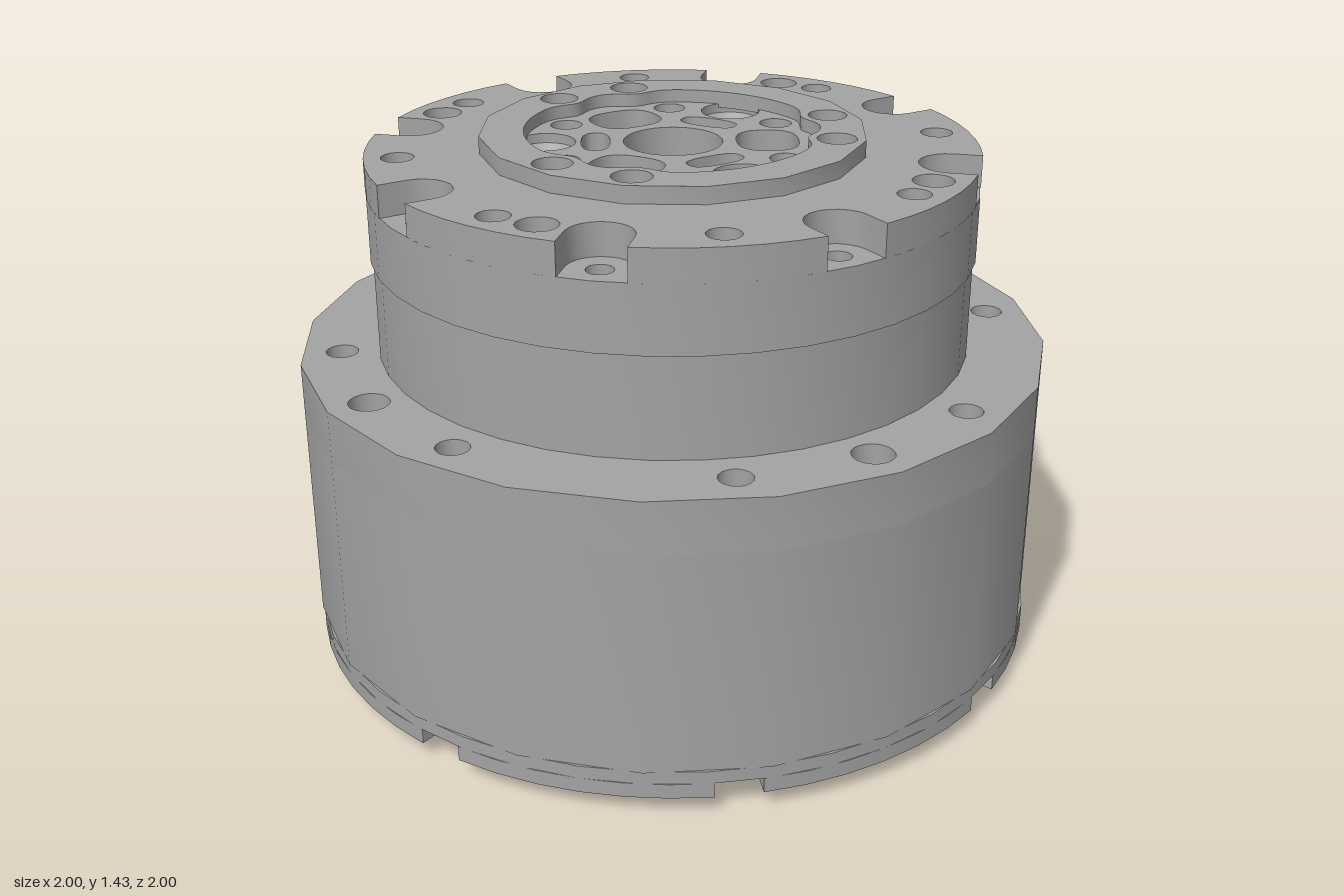
import * as THREE from 'three';
import { toCreasedNormals } from 'three/addons/utils/BufferGeometryUtils.js';

const RAD = Math.PI / 180;

// Plan point at azimuth a (degrees from +z towards +x) and radius r
const polar = (a, r) => new THREE.Vector2(r * Math.sin(a * RAD), -r * Math.cos(a * RAD));

// Closed circle of n points, centred at azimuth a and distance d
function circle(r, n = 18, a = 0, d = 0) {
  const c = polar(a, d);
  return Array.from({ length: n }, (_, i) => polar((i * 360) / n, r).add(c));
}

// One hole outline for every azimuth in the list
const holes = (angles, d, r, n = 18) => angles.map((a) => circle(r, n, a, d));

const steps = (count, start = 0) => Array.from({ length: count }, (_, i) => start + (i * 360) / count);

// Disc outline with eight U-shaped notches cut in from the rim
function notched(R, start, w, centre) {
  const pts = [];
  const edge = Math.sqrt(R * R - w * w);
  const half = Math.asin(w / R) / RAD;
  for (const a of steps(8, start)) {
    const put = (u, t) => pts.push(polar(a, u).add(polar(a + 90, t)));
    put(edge, -w);
    for (let i = 0; i <= 10; i++) {
      const q = (i / 10) * Math.PI;
      put(centre - w * Math.sin(q), -w * Math.cos(q));
    }
    put(edge, w);
    for (let i = 1; i < 6; i++) pts.push(polar(a + half + ((45 - 2 * half) * i) / 6, R));
  }
  return pts;
}

// Rounded pocket outline at azimuth a
function pocket(a, centre, hr, ht) {
  const bend = (v) => Math.sign(v) * Math.abs(v) ** 0.75;
  return Array.from({ length: 24 }, (_, i) => {
    const q = (i / 24) * Math.PI * 2;
    return polar(a, centre + hr * bend(Math.cos(q))).add(polar(a + 90, ht * bend(Math.sin(q))));
  });
}

export function createModel() {
  const model = new THREE.Group();
  const metal = new THREE.MeshStandardMaterial({ color: 0xa3a3a3, side: THREE.DoubleSide });
  metal.name = 'grey metal';

  const add = (name, geometry, parent = model) => {
    const mesh = new THREE.Mesh(geometry, metal);
    mesh.name = name;
    parent.add(mesh);
    return mesh;
  };

  // Flat layer from y0 to y1 with cut-outs
  const layer = (name, y0, y1, outline, cuts = []) => {
    const shape = new THREE.Shape(outline);
    shape.holes = cuts.map((c) => new THREE.Path(c));
    const g = new THREE.ExtrudeGeometry(shape, { depth: y1 - y0, bevelEnabled: false });
    g.rotateX(-Math.PI / 2).translate(0, y0, 0);
    return add(name, toCreasedNormals(g, 0.6));
  };

  // Conical bottoms of drilled holes
  const drillTips = (name, angles, d, r, y, h = 0.03) => {
    const group = new THREE.Group();
    group.name = name;
    for (const a of angles) {
      const p = polar(a, d);
      const tip = add('drillTip', new THREE.CylinderGeometry(r, 0, h, 18, 1, true), group);
      tip.position.set(p.x, y + h / 2, -p.y);
    }
    model.add(group);
  };

  const quarter = steps(4);
  const eighths = steps(8);
  const between = steps(8, 22.5);

  // Bottom rim and screw bosses
  layer('bottomRim', 0, 0.055, circle(0.72, 24), [circle(0.675, 24)]);
  for (const a of steps(4, 45)) {
    layer('screwBoss', 0, 0.056, circle(0.08, 20, a, 0.58), [circle(0.03, 14, a, 0.58)]);
  }

  // Base flange with notches and small holes
  const baseHoles = holes(steps(6), 0.87, 0.025, 12);
  layer('baseFlangeLower', 0.055, 0.095, notched(0.995, 22.5, 0.06, 0.9), baseHoles);
  layer('baseFlangeUpper', 0.095, 0.13, circle(0.995, 40),
    [...baseHoles, ...holes(between, 0.9, 0.025, 12)]);

  // Main housing and its bolt circle
  layer('housing', 0.13, 0.72, circle(1, 20));
  layer('housingTop', 0.72, 0.86, circle(1, 20),
    [...holes(quarter, 0.89, 0.053), ...holes(between, 0.89, 0.043)]);
  drillTips('housingDrillTips', between, 0.89, 0.043, 0.77);

  // Neck
  layer('neck', 0.86, 1.125, circle(0.793, 40));

  // Cap with eight notches, threaded holes and plain holes
  const capHoles = [
    circle(0.48, 32),
    ...holes(between, 0.713, 0.043),
    ...holes(steps(4, 32.3), 0.71, 0.053),
  ];
  layer('capLower', 1.125, 1.3, circle(0.8, 40), [...capHoles, ...holes(eighths, 0.725, 0.034)]);
  layer('capUpper', 1.3, 1.385, notched(0.8, 0, 0.083, 0.722), capHoles);
  drillTips('capDrillTips', between, 0.713, 0.043, 1.27);
  drillTips('notchDrillTips', eighths, 0.725, 0.034, 1.22);

  // Output plate: bore, pockets, bolt holes and large conical holes
  const outer = [45, 75, 165, 195, 285, 315];
  const inner = steps(6, 30);
  const cones = steps(3);
  const plain = steps(3, 60);
  const bore = circle(0.13, 32);
  layer('outputFloor', 1.125, 1.27, circle(0.48, 32), [bore, ...holes(plain, 0.31, 0.055)]);
  layer('outputPlate', 1.27, 1.395, circle(0.48, 32), [
    bore,
    ...holes(outer, 0.43, 0.033, 14),
    ...holes(inner, 0.325, 0.043),
    ...holes(cones, 0.333, 0.08, 24),
    ...plain.map((a) => pocket(a, 0.247, 0.082, 0.095)),
    ...cones.map((a) => pocket(a, 0.202, 0.038, 0.08)),
  ]);
  drillTips('outputDrillTips', inner, 0.325, 0.043, 1.3);
  drillTips('outputConeSeats', cones, 0.333, 0.08, 1.29, 0.08);

  // Collar with a scalloped opening that dips in at each bolt
  const scallop = Array.from({ length: 120 }, (_, i) => {
    const a = i * 3;
    const dip = outer.reduce((s, b) => s + Math.exp(-(((a - b) / 6) ** 2) / 2), 0);
    return polar(a, 0.388 - 0.032 * dip);
  });
  layer('outputCollar', 1.385, 1.43, circle(0.505, 16), [scallop, ...holes(outer, 0.43, 0.052)]);

  return model;
}
